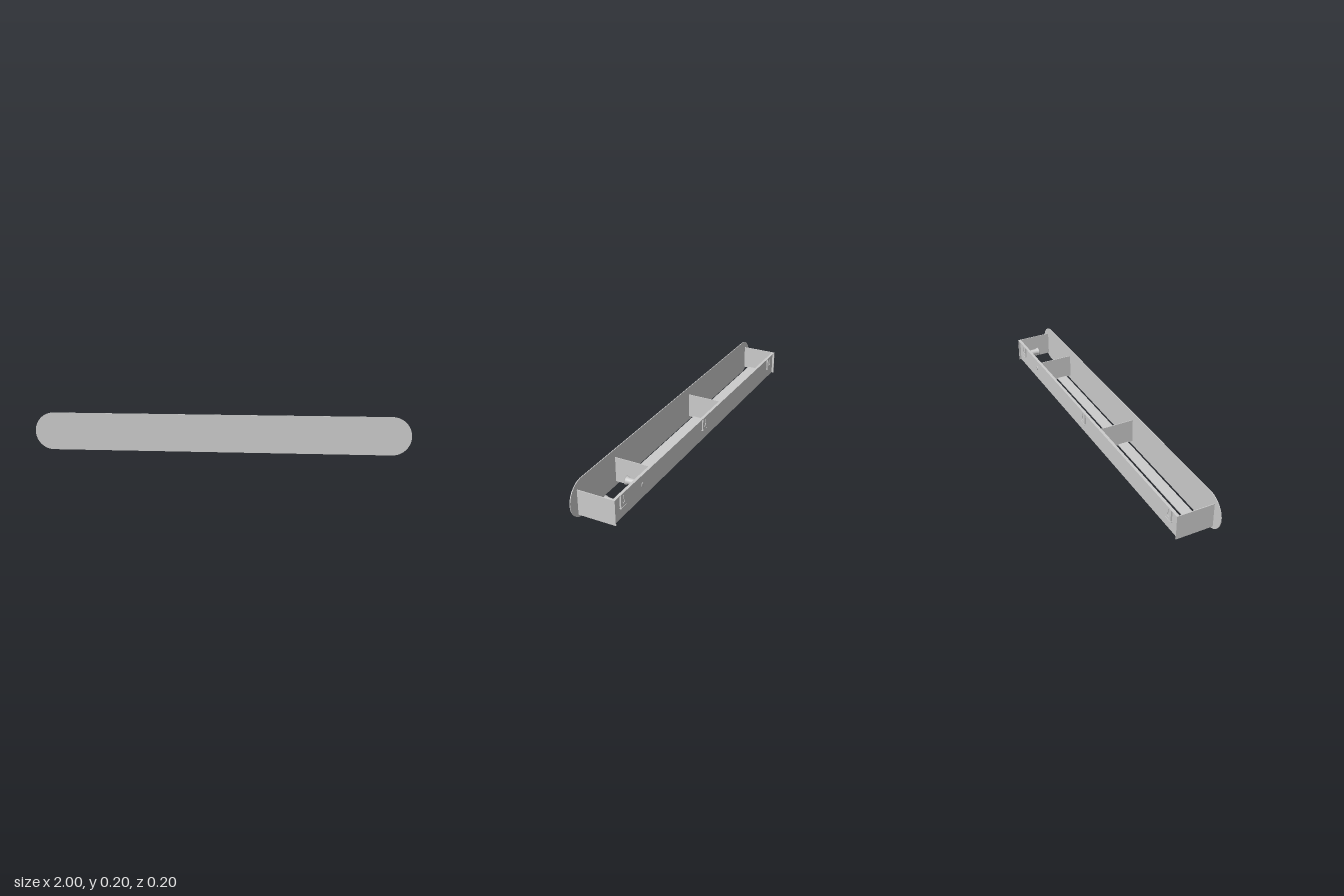
import * as THREE from 'three';

const material = new THREE.MeshStandardMaterial({ color: 0xcccccc, side: THREE.DoubleSide });

export function createModel() {
  const model = new THREE.Group();

  const add = (name, geometry, x = 0, y = 0, z = 0) => {
    const mesh = new THREE.Mesh(geometry, material);
    mesh.name = name;
    mesh.position.set(x, y, z);
    model.add(mesh);
    return mesh;
  };
  // Box given by its limits on each axis
  const box = (name, x0, x1, y0, y1, z0, z1) =>
    add(name, new THREE.BoxGeometry(x1 - x0, y1 - y0, z1 - z0),
      (x0 + x1) / 2, (y0 + y1) / 2, (z0 + z1) / 2);

  const bottom = 0.022, top = 0.156, half = 0.943;
  const back = -0.102, wall = -0.09, front = 0.098, t = 0.004;

  // Front panel with fully rounded ends
  const outline = new THREE.Shape();
  outline.absarc(0.9, 0.1, 0.1, -Math.PI / 2, Math.PI / 2);
  outline.absarc(-0.9, 0.1, 0.1, Math.PI / 2, Math.PI * 1.5);
  outline.closePath();
  add('frontPanel', new THREE.ExtrudeGeometry(outline,
    { depth: t, bevelEnabled: false, curveSegments: 24 }), 0, 0, front);

  // Recessed back panel with a lip folded back along its top
  box('backPanel', -half, half, bottom, top, wall, wall + 0.003);
  box('backLip', -half, half, top - t, top, back, wall);

  // End plates and inner dividers
  box('rightEndPlate', half - t, half, bottom, top, back, front);
  box('leftEndPlate', -half, -half + t, bottom, top, back, front);
  for (const x of [-0.165, 0.615]) {
    box('divider', x - t / 2, x + t / 2, bottom, top, wall, front);
  }

  // Two shelf slats along the bottom of the closed bays
  for (const z of [-0.039, 0.041]) {
    box('shelfSlat', -half, 0.613, bottom, bottom + 0.005, z - 0.029, z + 0.029);
  }

  // Flared coat pegs in the open bay
  const pegProfile = [[0, 0], [0.014, 0], [0.015, 0.04], [0.017, 0.075], [0.022, 0.084],
    [0.022, 0.09], [0, 0.09]].map(([r, h]) => new THREE.Vector2(r, h));
  for (const x of [0.68, 0.87]) {
    add('peg', new THREE.LatheGeometry(pegProfile, 24), x, 0.09, wall).rotation.x = Math.PI / 2;
  }

  // Wall hangers with a keyhole: wide at the bottom, narrow slot at the top
  const plate = new THREE.Shape();
  plate.moveTo(-0.02, -0.034);
  plate.lineTo(0.02, -0.034);
  plate.lineTo(0.02, 0.034);
  plate.lineTo(-0.02, 0.034);
  plate.closePath();
  const keyhole = new THREE.Path();
  keyhole.absarc(0, -0.008, 0.011, Math.PI * 0.7, Math.PI * 2.3);
  keyhole.absarc(0, 0.02, 0.005, 0, Math.PI);
  keyhole.closePath();
  plate.holes.push(keyhole);
  const plateGeometry = new THREE.ExtrudeGeometry(plate,
    { depth: 0.003, bevelEnabled: false, curveSegments: 16 });
  for (const x of [-0.865, 0.033, 0.865]) {
    add('hangerPlate', plateGeometry, x, 0.116, -0.098);
    box('hangerFoot', x - 0.024, x + 0.024, 0.078, 0.082, -0.1, wall);
    for (const side of [-1, 1]) {
      box('hangerSide', x + side * 0.0185 - 0.0015, x + side * 0.0185 + 0.0015,
        0.082, 0.15, -0.095, wall);
    }
  }

  return model;
}
